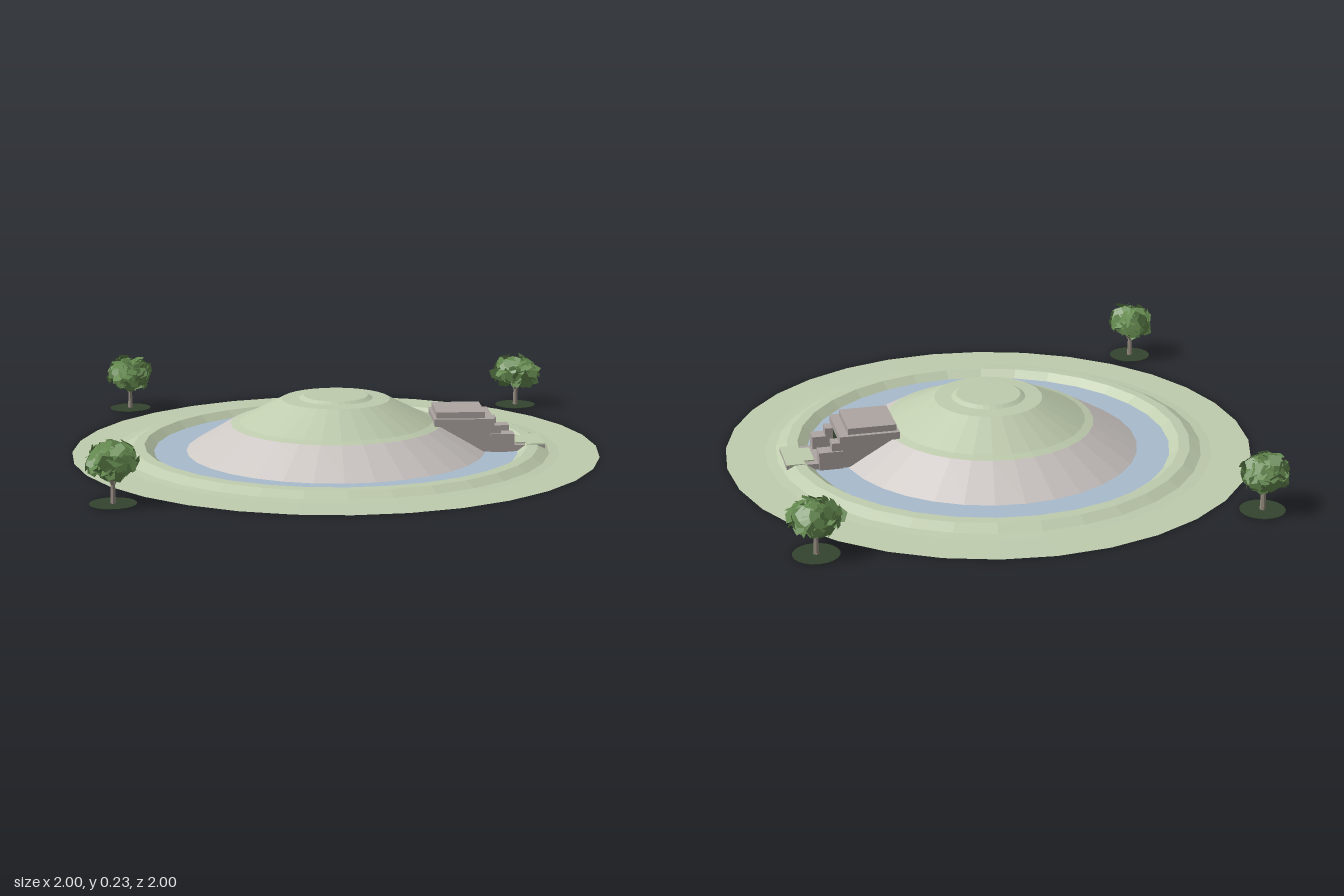
import * as THREE from 'three';
import { mergeGeometries } from 'three/addons/utils/BufferGeometryUtils.js';

const mat = (name, color, double = true) => {
  const m = new THREE.MeshStandardMaterial({ color, flatShading: true });
  m.name = name;
  if (double) m.side = THREE.DoubleSide;
  return m;
};

export function createModel() {
  const turf = mat('turf', 0xbfccae);
  const water = mat('water', 0xa8bbcc);
  const paleStone = mat('paleStone', 0xcdc7c4);
  const concrete = mat('concrete', 0xada5a2);
  const darkGreen = mat('darkGreen', 0x34442f);
  const leaf = mat('leaf', 0x64894f);
  const bark = mat('bark', 0x958b80);

  const model = new THREE.Group();
  const add = (name, geo, material, parent = model) => {
    const mesh = new THREE.Mesh(geo, material);
    mesh.name = name;
    parent.add(mesh);
    return mesh;
  };
  const SIDES = 32;
  const lathe = (pts) => new THREE.LatheGeometry(pts.map(([r, y]) => new THREE.Vector2(r, y)), SIDES);
  // Box given by its limits on each axis
  const box = (name, x0, x1, y0, y1, z0, z1, material, parent) => {
    const mesh = add(name, new THREE.BoxGeometry(x1 - x0, y1 - y0, z1 - z0), material, parent);
    mesh.position.set((x0 + x1) / 2, (y0 + y1) / 2, (z0 + z1) / 2);
    return mesh;
  };

  // Flat lawn rising into a low bank around the moat
  add('lawnAndBank', lathe([[1, 0], [0.85, 0.002], [0.81, 0.006], [0.768, 0.027], [0.727, 0.029], [0.69, 0.002]]), turf);
  add('moat', lathe([[0.692, 0.003], [0.565, 0.003]]), water);
  add('moundUnderside', lathe([[0.57, 0.001], [0, 0.001]]), turf);

  // Stepped mound: stone skirt, then a grassed upper part
  add('stoneSkirt', lathe([[0.57, 0.002], [0.4, 0.104]]), paleStone);
  add('grassMound', lathe([
    [0.4, 0.104], [0.367, 0.113], [0.205, 0.197], [0.14, 0.2], [0.122, 0.21], [0, 0.21],
  ]), turf);

  // Entrance building set into the mound on the left side
  const entrance = new THREE.Group();
  entrance.name = 'entrance';
  model.add(entrance);
  box('entranceBody', 0.38, 0.586, 0.005, 0.107, -0.1, 0.1, concrete, entrance);
  box('roofSlab', 0.366, 0.592, 0.106, 0.134, -0.115, 0.115, concrete, entrance);
  box('roofCap', 0.375, 0.558, 0.134, 0.158, -0.098, 0.098, concrete, entrance);
  box('door', 0.586, 0.591, 0.02, 0.1, -0.05, 0.05, darkGreen, entrance);
  for (const s of [-1, 1]) {
    const a = s * 0.05, b = s * 0.1, c = s * 0.107;
    box('upperButtress', 0.58, 0.62, 0.074, 0.105, Math.min(a, b), Math.max(a, b), concrete, entrance);
    box('lowerButtress', 0.58, 0.67, 0.005, 0.074, Math.min(a, c), Math.max(a, c), concrete, entrance);
  }
  // Walkway over the moat with a turf landing on the bank
  box('walkway', 0.54, 0.79, 0, 0.026, -0.09, 0.09, concrete, entrance);
  box('landing', 0.72, 0.79, 0.026, 0.031, -0.09, 0.09, turf, entrance);
  box('landingNeck', 0.682, 0.72, 0.026, 0.031, -0.06, 0.06, turf, entrance);

  // Trees: forked trunk, ragged crown of leaf plates, dark patch at the foot
  const tree = (x, z, crownY, seed) => {
    let s = seed;
    const rnd = () => (s = (s * 16807) % 2147483647) / 2147483647;
    const g = new THREE.Group();
    g.name = 'tree';
    g.position.set(x, 0, z);
    model.add(g);

    add('footPatch', new THREE.CylinderGeometry(0.083, 0.083, 0.002, 20), darkGreen, g).position.y = 0.001;
    add('trunk', new THREE.CylinderGeometry(0.008, 0.011, 0.09, 6), bark, g).position.y = 0.045;
    for (let i = 0; i < 4; i++) {
      const a = i * Math.PI / 2 + seed;
      const path = new THREE.LineCurve3(
        new THREE.Vector3(0, 0.06, 0),
        new THREE.Vector3(Math.cos(a) * 0.05, crownY, Math.sin(a) * 0.05));
      add('branch', new THREE.TubeGeometry(path, 1, 0.004, 5), bark, g);
    }

    const parts = [];
    const core = new THREE.IcosahedronGeometry(0.07, 1);
    core.scale(1, 0.62, 1);
    parts.push(core);
    const N = 90;
    const up = new THREE.Vector3(0, 0, 1);
    for (let i = 0; i < N; i++) {
      const y = 1 - 2 * (i + 0.5) / N, r = Math.sqrt(1 - y * y), a = i * 2.39996;
      const dir = new THREE.Vector3(r * Math.cos(a), y, r * Math.sin(a));
      const tilt = dir.clone().add(new THREE.Vector3(rnd() - 0.5, rnd() - 0.3, rnd() - 0.5).multiplyScalar(1.3)).normalize();
      const plate = new THREE.CircleGeometry(0.02 + rnd() * 0.015, 5, rnd() * 6).toNonIndexed();
      plate.applyQuaternion(new THREE.Quaternion().setFromUnitVectors(up, tilt));
      const k = 0.85 + rnd() * 0.25;
      plate.translate(dir.x * 0.08 * k, dir.y * 0.057 * k, dir.z * 0.08 * k);
      parts.push(plate);
    }
    add('crown', mergeGeometries(parts), leaf, g).position.y = crownY;
  };
  tree(-0.81, -0.81, 0.15, 11);
  tree(0.797, -0.79, 0.142, 57);
  tree(-0.81, 0.797, 0.155, 203);

  return model;
}
